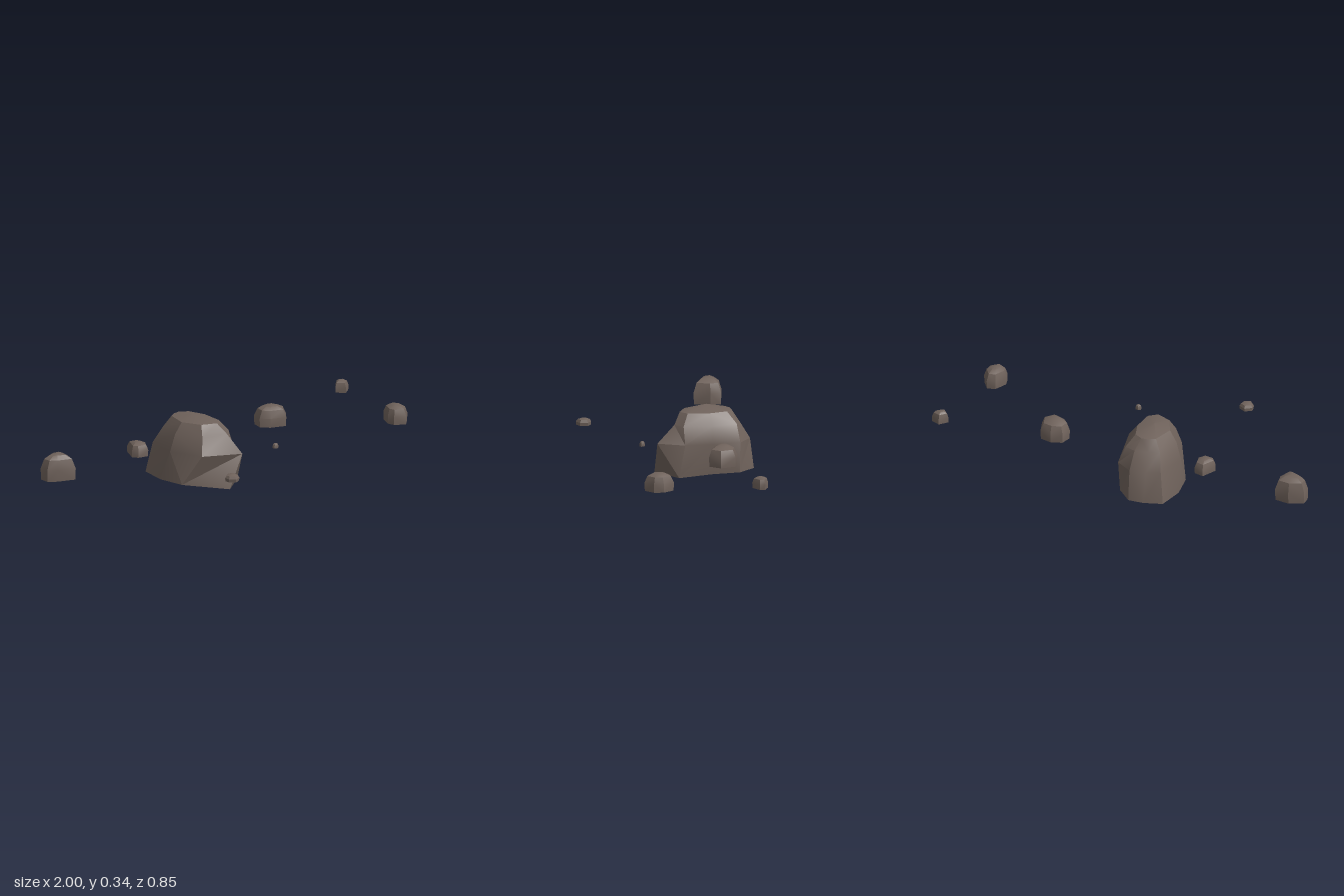
import * as THREE from 'three';
import { toCreasedNormals } from 'three/addons/utils/BufferGeometryUtils.js';

// Rocks are open shells underneath, so both sides are drawn
const stone = new THREE.MeshStandardMaterial({ color: 0x6f625b, side: THREE.DoubleSide });
stone.name = 'brown stone';

// Boulder cross-sections from base to crown: height and [x, z] corners, clockwise from above
const boulderSections = [
  [0.01, [[-0.255, -0.375], [-0.16, -0.394], [-0.08, -0.388], [-0.01, -0.3], [-0.005, -0.16], [-0.004, 0.01],
    [-0.155, 0.1], [-0.288, -0.1], [-0.295, -0.24]]],
  [0.165, [[-0.235, -0.345], [-0.165, -0.365], [-0.08, -0.368], [0, -0.3], [0.01, -0.16], [0, -0.02],
    [-0.07, 0.105], [-0.24, -0.01], [-0.288, -0.18]]],
  [0.252, [[-0.215, -0.295], [-0.16, -0.312], [-0.09, -0.316], [-0.035, -0.29], [-0.012, -0.16], [-0.035, -0.02],
    [-0.085, 0.015], [-0.215, -0.03], [-0.262, -0.17]]],
  [0.308, [[-0.185, -0.265], [-0.15, -0.282], [-0.115, -0.282], [-0.075, -0.25], [-0.056, -0.16], [-0.075, -0.05],
    [-0.12, -0.02], [-0.19, -0.06], [-0.225, -0.16]]],
];

// Small rocks: a footprint outline that is scaled about the peak at each level
const smallRocks = [
  { name: 'farRightRock', y: [0.145, 0.275], peak: [-0.92, -0.355],
    outline: [[-1, -0.35], [-0.995, -0.4], [-0.92, -0.425], [-0.845, -0.405], [-0.84, -0.35], [-0.877, -0.272], [-0.963, -0.315]] },
  { name: 'rearRock', y: [0.17, 0.24], peak: [-0.44, -0.26],
    outline: [[-0.49, -0.25], [-0.445, -0.325], [-0.397, -0.305], [-0.39, -0.24], [-0.422, -0.203], [-0.476, -0.22]] },
  { name: 'frontRock', y: [0.185, 0.22], peak: [-0.452, 0.385],
    outline: [[-0.485, 0.37], [-0.45, 0.35], [-0.417, 0.374], [-0.427, 0.412], [-0.465, 0.425], [-0.485, 0.396]] },
  { name: 'pebble', y: [0.19, 0.215], peak: [0.055, 0.212],
    outline: [[0.04, 0.207], [0.052, 0.198], [0.068, 0.204], [0.068, 0.22], [0.054, 0.226], [0.042, 0.219]] },
  { name: 'leftRock', y: [0.157, 0.26], peak: [0.38, -0.115],
    outline: [[0.325, -0.18], [0.385, -0.192], [0.443, -0.17], [0.46, -0.09], [0.412, -0.042], [0.337, -0.08], [0.305, -0.123]] },
  { name: 'frontLeftRock', y: [0.16, 0.252], peak: [0.825, 0.315],
    outline: [[0.77, 0.31], [0.807, 0.246], [0.85, 0.241], [0.882, 0.3], [0.872, 0.348], [0.823, 0.385], [0.775, 0.348]] },
  { name: 'farLeftRock', y: [0.175, 0.235], peak: [0.955, -0.175],
    outline: [[0.917, -0.176], [0.957, -0.212], [1, -0.187], [0.995, -0.16], [0.947, -0.133]] },
];

// Sections of a small rock as [height, scale] levels
function scaledSections({ outline, y: [low, high], peak: [cx, cz] }) {
  return [[0, 0.97], [0.45, 1], [0.82, 0.79], [0.96, 0.42]].map(([h, s]) => [
    low + h * (high - low),
    outline.map(([x, z]) => [cx + (x - cx) * s, cz + (z - cz) * s]),
  ]);
}

// Loft through the sections and close the top at the peak
function rockGeometry(sections, [px, py, pz]) {
  const n = sections[0][1].length, last = (sections.length - 1) * n;
  const points = sections.flatMap(([y, corners]) => corners.flatMap(([x, z]) => [x, y, z]));
  const apex = points.length / 3, faces = [];
  points.push(px, py, pz);
  for (let i = 0; i < n; i++) {
    const j = (i + 1) % n;
    for (let k = 0; k < last; k += n) {
      const a = k + i, b = k + j, c = a + n, d = b + n;
      if (i % 2) faces.push(a, c, d, a, d, b);
      else faces.push(a, c, b, b, c, d);
    }
    faces.push(last + i, apex, last + j);
  }
  const geometry = new THREE.BufferGeometry();
  geometry.setAttribute('position', new THREE.Float32BufferAttribute(points, 3));
  geometry.setIndex(faces);
  return toCreasedNormals(geometry, 0.5);
}

export function createModel() {
  const group = new THREE.Group();
  group.name = 'rockField';
  const addRock = (name, sections, peak) => {
    const mesh = new THREE.Mesh(rockGeometry(sections, peak), stone);
    mesh.name = name;
    group.add(mesh);
  };

  // Large boulder, its front corner dipping to the lowest point
  const boulderPeak = [-0.145, 0.335, -0.16];
  addRock('boulder', boulderSections, boulderPeak);
  const position = group.children[0].geometry.attributes.position;
  for (let i = 0; i < position.count; i++) {
    if (position.getY(i) < 0.05 && position.getZ(i) > 0) position.setY(i, 0);
  }

  // Scattered small rocks
  for (const rock of smallRocks) {
    addRock(rock.name, scaledSections(rock), [rock.peak[0], rock.y[1], rock.peak[1]]);
  }
  return group;
}
